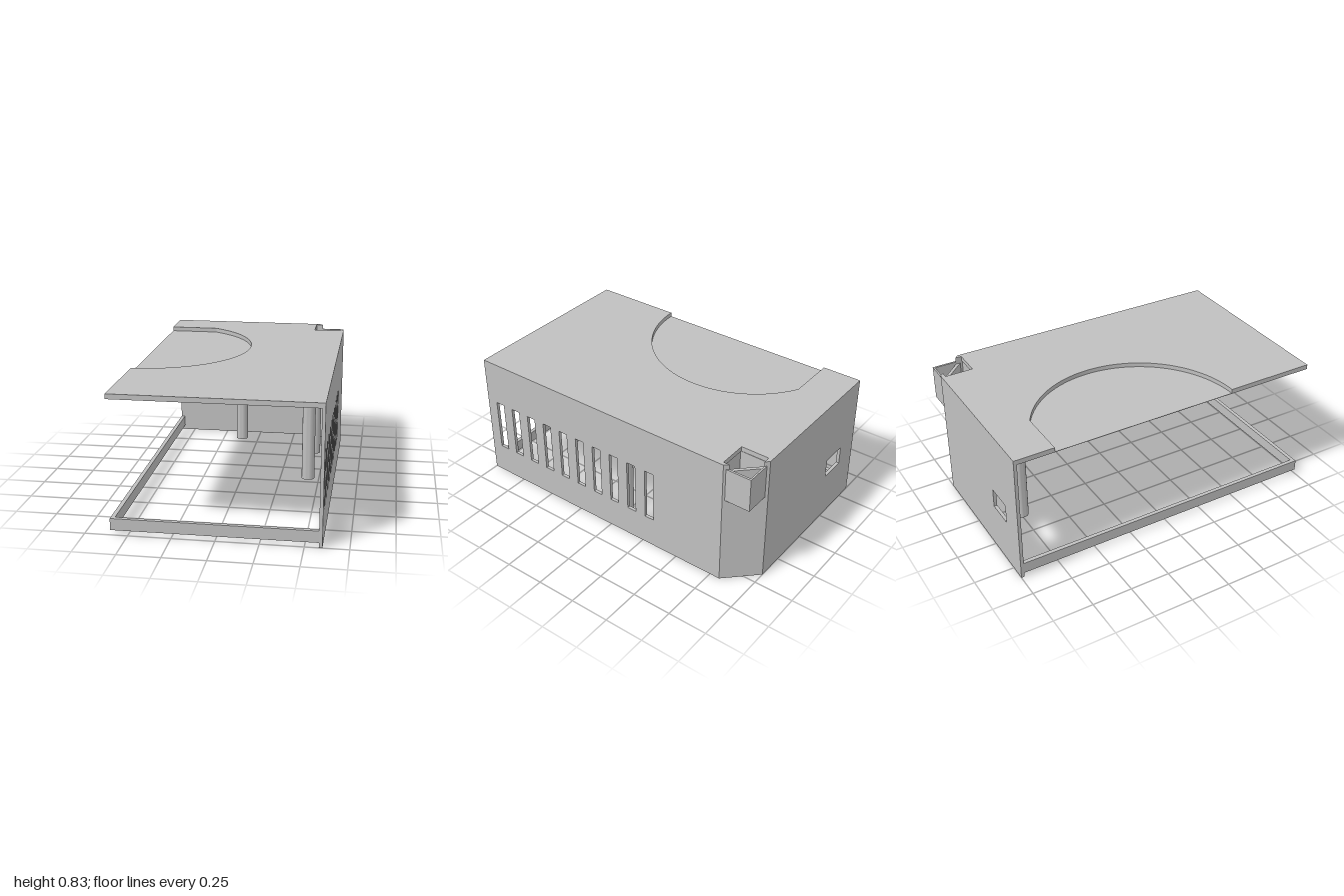
import * as THREE from 'three';
import { toCreasedNormals } from 'three/addons/utils/BufferGeometryUtils.js';

const grey = new THREE.MeshStandardMaterial({ color: 0xc0c0c0 });
grey.name = 'plain grey';

const T = 0.02;          // wall thickness
const PLATE_Y = 0.8;     // underside of the top plate
const HEIGHT = 0.83;

const outline = (points, Type = THREE.Shape) =>
  new Type(points.map(([a, b]) => new THREE.Vector2(a, b)));

const rect = (a0, a1, b0, b1) => [[a0, b0], [a1, b0], [a1, b1], [a0, b1]];

export function createModel() {
  const group = new THREE.Group();

  const add = (name, geometry) => {
    const mesh = new THREE.Mesh(geometry, grey);
    mesh.name = name;
    group.add(mesh);
    return mesh;
  };

  const box = (name, x0, x1, y0, y1, z0, z1) =>
    add(name, new THREE.BoxGeometry(x1 - x0, y1 - y0, z1 - z0))
      .position.set((x0 + x1) / 2, (y0 + y1) / 2, (z0 + z1) / 2);

  // Extrudes a footprint, drawn in (x, -z), upwards from y0 to y1
  const rise = (name, shape, y0, y1) => {
    const geometry = new THREE.ExtrudeGeometry(shape, {
      depth: y1 - y0, bevelEnabled: false, curveSegments: 40,
    });
    geometry.rotateX(-Math.PI / 2).translate(0, y0, 0);
    return add(name, toCreasedNormals(geometry, 0.5));
  };
  const footprint = (points) => outline(points.map(([x, z]) => [x, -z]));

  // Top plate: thin floor, and a thicker layer with a rounded recess at one edge
  const floorY = 0.803;
  rise('recessFloor', footprint([
    [-0.6, 1], [0.6, 1], [0.6, -0.8], [0.4, -0.8], [0.4, -1], [-0.6, -1],
  ]), PLATE_Y, floorY);
  const plate = footprint([
    [-0.6, 1], [0.6, 1], [0.6, -0.8], [0.4, -0.8], [0.4, -1], [-0.6, -1], [-0.6, -0.75],
  ]);
  plate.lineTo(-0.29, 0.75);
  plate.absarc(-0.6, 0.2, 0.63, Math.atan2(0.55, 0.31), -Math.PI / 2, true);
  rise('topPlate', plate, floorY, HEIGHT);

  // Side wall with a row of ventilation slots, drawn in (-z, y)
  const side = outline(rect(-1, 0.815, 0, PLATE_Y));
  for (let i = 0; i < 10; i++) {
    const c = -0.895 + i * 0.133;
    side.holes.push(outline(rect(c - 0.031, c + 0.031, 0.2, 0.54), THREE.Path));
  }
  const sideGeometry = new THREE.ExtrudeGeometry(side, { depth: T, bevelEnabled: false });
  sideGeometry.rotateY(Math.PI / 2).translate(0.6 - T, 0, 0);
  add('slottedSideWall', sideGeometry);

  // Back wall with a small window opening
  const back = outline(rect(-0.6, 0.42, 0, PLATE_Y));
  back.holes.push(outline(rect(-0.44, -0.27, 0.3, 0.42), THREE.Path));
  const backGeometry = new THREE.ExtrudeGeometry(back, { depth: T, bevelEnabled: false });
  backGeometry.translate(0, 0, -1);
  add('backWall', backGeometry);

  // Chamfered corner wall, cut low inside the corner duct, with full height ends
  rise('cornerWall', footprint([
    [0.42, -1], [0.6, -0.815], [0.58, -0.807], [0.412, -0.98],
  ]), 0, 0.785);
  rise('cornerEndBack', footprint([
    [0.4, -1], [0.42, -1], [0.443, -0.976], [0.4, -0.976],
  ]), 0.785, HEIGHT);
  rise('cornerEndSide', footprint([
    [0.6, -0.8], [0.6, -0.815], [0.577, -0.839], [0.577, -0.8],
  ]), 0.785, HEIGHT);

  // Square open duct through the corner
  const duct = footprint(rect(0.38, 0.59, -0.987, -0.78));
  duct.holes.push(outline(rect(0.402, 0.577, 0.796, 0.976), THREE.Path));
  rise('cornerDuct', duct, 0.585, PLATE_Y);

  // Lower frame bars on the two open sides
  const w = 0.025;
  box('frontFrameBar', -0.6, 0.6 - T, 0.03, 0.1, 1 - w, 1);
  box('sideFrameBar', -0.6, -0.6 + w, 0.03, 0.1, -1 + T, 1 - w);

  // Hollow ended screw pillars below the plate
  const profile = [[0, 0.4], [0.017, 0.4], [0.017, 0.03], [0.041, 0.03], [0.041, PLATE_Y]]
    .map(([r, y]) => new THREE.Vector2(r, y));
  const pillar = toCreasedNormals(new THREE.LatheGeometry(profile, 32), 0.6);
  for (const [x, z] of [[-0.105, -0.755], [0.435, -0.51], [0.435, 0]]) {
    add('screwPillar', pillar).position.set(x, 0, z);
  }

  return group;
}
